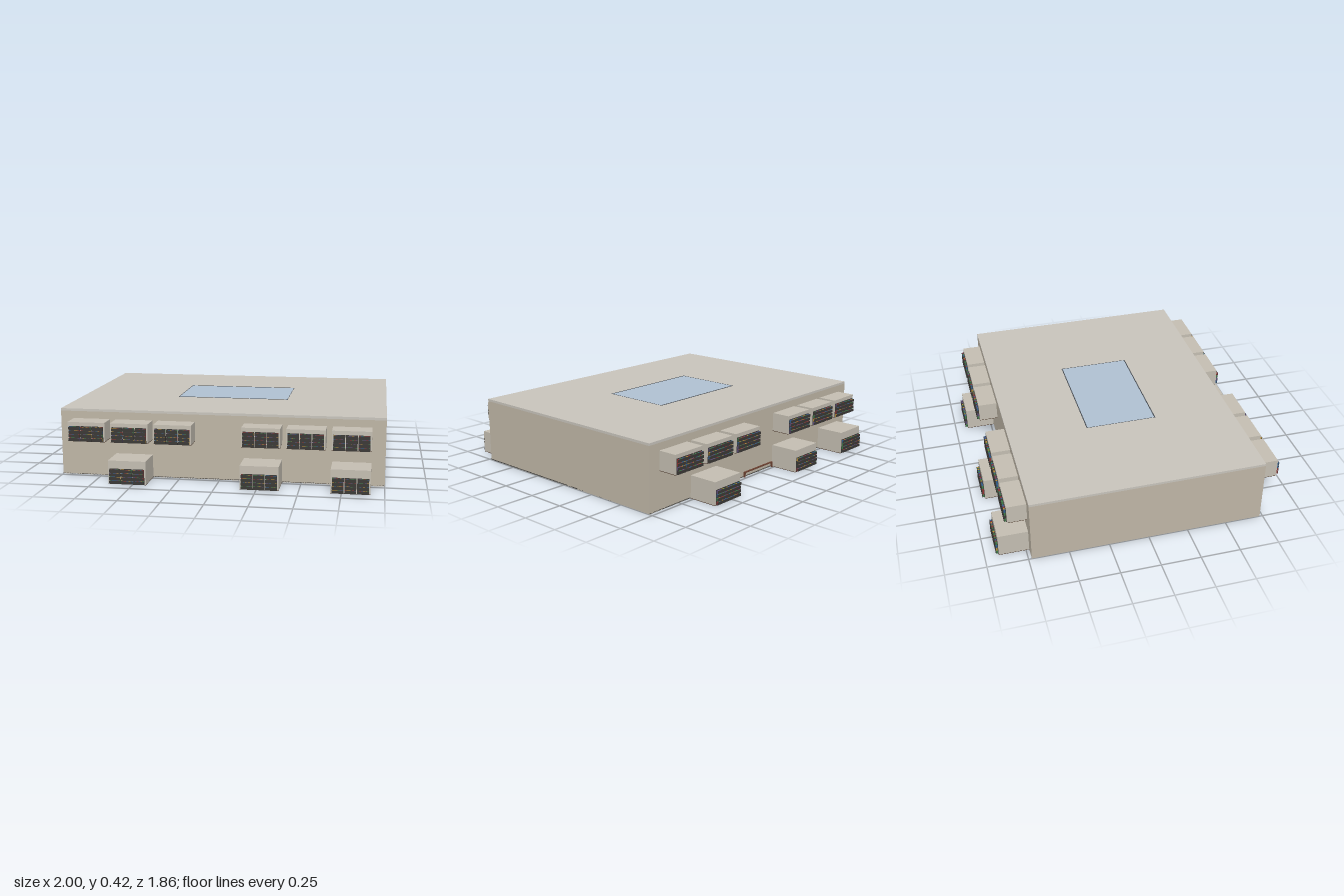
import * as THREE from 'three';
import { mergeGeometries } from 'three/addons/utils/BufferGeometryUtils.js';

const HALF_Z = 0.73, ROOF_Y = 0.405, TOP_Y = 0.42;
const paint = (color) => new THREE.MeshStandardMaterial({ color, flatShading: true });
const MAT = {
  wall: paint(0xbfb6a6), roof: paint(0xc8c4bc), alcove: paint(0xc4beb2),
  wood: paint(0x4a3426), dark: paint(0x3a3835), glass: paint(0xb0c1d2),
  floor: paint(0x4a4844), tile: paint(0x55524d), frame: paint(0x4a4f55),
  navy: paint(0x14293c), mat: paint(0x363c42), door: paint(0x6b4030),
};
const BOOK_MATS = [0x8c3030, 0x2f5d8c, 0x3c7a46, 0xb58a35, 0x5b4a78, 0x3a3835].map(paint);

// Box given by its min and max corners
function boxGeo(x0, x1, y0, y1, z0, z1) {
  return new THREE.BoxGeometry(x1 - x0, y1 - y0, z1 - z0)
    .translate((x0 + x1) / 2, (y0 + y1) / 2, (z0 + z1) / 2);
}

function add(parent, name, geometry, material) {
  const mesh = new THREE.Mesh(geometry, material);
  mesh.name = name;
  parent.add(mesh);
  return mesh;
}

// Three shelf units on the outer face of an alcove, each with four rows of books
function makeShelves(seed) {
  const shelves = new THREE.Group();
  shelves.name = 'bookshelves';
  const dark = [], books = BOOK_MATS.map(() => []);
  let s = seed * 7919 + 13;
  const rand = () => (s = (s * 16807) % 2147483647) / 2147483647;
  for (const cx of [-0.073, 0, 0.073]) {
    dark.push(boxGeo(cx - 0.034, cx + 0.034, 0.001, 0.096, 0, 0.003));
    for (let row = 0; row < 4; row++) {
      const y = 0.006 + row * 0.023;
      dark.push(boxGeo(cx - 0.034, cx + 0.034, y, y + 0.017, 0.013, 0.016));
      for (let i = 0; i < 6; i++) {
        const x = cx - 0.033 + i * 0.011;
        const pick = Math.floor(rand() * books.length) % books.length;
        books[pick].push(boxGeo(x, x + 0.011, y, y + 0.017, 0.003, 0.013));
      }
    }
  }
  add(shelves, 'shelfUnits', mergeGeometries(dark), MAT.dark);
  books.forEach((list, i) => {
    if (list.length) add(shelves, 'bookRow', mergeGeometries(list), BOOK_MATS[i]);
  });
  return shelves;
}

// Projecting bay with a wooden underside and shelves outside
function makeAlcove(name, x, y, height, depth, side, seed) {
  const alcove = new THREE.Group();
  alcove.name = name;
  add(alcove, 'alcoveShell', boxGeo(-0.116, 0.116, 0.003, height, 0, depth), MAT.alcove);
  add(alcove, 'alcoveFloor', boxGeo(-0.116, 0.116, 0, 0.003, 0, depth), MAT.wood);
  const shelves = makeShelves(seed);
  shelves.position.z = depth;
  alcove.add(shelves);
  alcove.position.set(x, y, side * HALF_Z);
  if (side < 0) alcove.rotation.y = Math.PI;
  return alcove;
}

function makeRoof() {
  const roof = new THREE.Group();
  roof.name = 'roof';
  const outline = new THREE.Shape([[-1, -HALF_Z], [1, -HALF_Z], [1, HALF_Z], [-1, HALF_Z]]
    .map(([x, y]) => new THREE.Vector2(x, y)));
  outline.holes.push(new THREE.Path([[-0.36, -0.225], [-0.36, 0.225], [0.36, 0.225], [0.36, -0.225]]
    .map(([x, y]) => new THREE.Vector2(x, y))));
  const slab = new THREE.ExtrudeGeometry(outline, { depth: TOP_Y - ROOF_Y, bevelEnabled: false });
  add(roof, 'roofSlab', slab.rotateX(-Math.PI / 2).translate(0, ROOF_Y, 0), MAT.roof);
  add(roof, 'skylight', boxGeo(-0.36, 0.36, ROOF_Y, TOP_Y, -0.225, 0.225), MAT.glass);
  for (const s of [-1, 1]) {
    add(roof, 'skylightFrame', new THREE.BoxGeometry(0.726, 0.004, 0.006)
      .translate(0, TOP_Y, s * 0.226), MAT.frame);
    add(roof, 'skylightFrame', new THREE.BoxGeometry(0.002, 0.003, 0.45)
      .translate(s * 0.361, TOP_Y, 0), MAT.frame);
  }
  return roof;
}

function makeFloor() {
  const floor = new THREE.Group();
  floor.name = 'floor';
  add(floor, 'floorSlab', boxGeo(-1, 1, 0.003, 0.008, -HALF_Z, HALF_Z), MAT.floor);
  // Checkerboard of tiles
  const tiles = [], nx = 20, nz = 14, w = 2 / nx, d = 2 * HALF_Z / nz;
  for (let i = 0; i < nx; i++) for (let j = 0; j < nz; j++) {
    if ((i + j) % 2) continue;
    const x = -1 + i * w, z = -HALF_Z + j * d;
    tiles.push(boxGeo(x, x + w, 0.002, 0.003, z, z + d));
  }
  add(floor, 'floorTiles', mergeGeometries(tiles), MAT.tile);
  // Inlays reaching through the floor
  const inlay = (name, x, z, sx, sz, mat) =>
    add(floor, name, boxGeo(x - sx / 2, x + sx / 2, 0, 0.003, z - sz / 2, z + sz / 2), mat);
  add(floor, 'centreRug', new THREE.CylinderGeometry(0.12, 0.12, 0.003, 40).translate(0, 0.0015, 0), MAT.navy);
  inlay('entranceMat', 0, -0.69, 0.28, 0.075, MAT.mat);
  inlay('cornerRugBlue', 0.76, -0.54, 0.12, 0.08, paint(0x1f3568));
  inlay('cornerRugOrange', 0.76, 0.54, 0.12, 0.08, paint(0x7a4c18));
  inlay('cornerRugRed', -0.76, -0.54, 0.12, 0.08, paint(0x702622));
  inlay('cornerRugGreen', -0.76, 0.54, 0.12, 0.08, paint(0x1f4a2b));
  for (const sx of [-1, 1]) for (const sz of [-1, 1]) {
    inlay('benchBase', sx * 0.28, sz * 0.47, 0.1, 0.014, MAT.dark);
    inlay('benchBase', sx * 0.28, sz * 0.23, 0.1, 0.014, MAT.dark);
    inlay('benchBase', sx * 0.62, sz * 0.28, 0.014, 0.09, MAT.dark);
  }
  for (const s of [-1, 1]) inlay('benchBase', 0, s * 0.53, 0.14, 0.014, MAT.dark);
  return floor;
}

export function createModel() {
  const model = new THREE.Group();
  model.name = 'library';

  // Outer walls
  const t = 0.02, walls = new THREE.Group();
  walls.name = 'walls';
  for (const s of [-1, 1]) {
    add(walls, 'longWall', new THREE.BoxGeometry(2, ROOF_Y - 0.002, t)
      .translate(0, ROOF_Y / 2 + 0.001, s * (HALF_Z - t / 2)), MAT.wall);
    add(walls, 'endWall', new THREE.BoxGeometry(t, ROOF_Y - 0.002, 2 * HALF_Z - 2 * t)
      .translate(s * (1 - t / 2), ROOF_Y / 2 + 0.001, 0), MAT.wall);
  }
  model.add(walls, makeRoof(), makeFloor());

  // Two storeys of bays; ground-floor bays alternate between front and back
  const bays = [-0.802, -0.534, -0.267, 0.267, 0.534, 0.802];
  const ground = { 1: [1, 3, 5], [-1]: [0, 2, 4] };
  let seed = 1;
  for (const side of [1, -1]) {
    bays.forEach((x) => model.add(makeAlcove('upperAlcove', x, 0.24, 0.12, 0.12, side, seed++)));
    ground[side].forEach((i) => model.add(makeAlcove('groundAlcove', bays[i], 0, 0.145, 0.185, side, seed++)));
  }

  // Low entrance frame on the back wall
  const entrance = new THREE.Group();
  entrance.name = 'entranceFrame';
  add(entrance, 'frameTop', boxGeo(-0.145, 0.145, 0.03, 0.036, -0.742, -HALF_Z), MAT.door);
  for (const s of [-1, 1]) {
    add(entrance, 'framePost', new THREE.BoxGeometry(0.006, 0.03, 0.012)
      .translate(s * 0.142, 0.015, -0.736), MAT.door);
  }
  model.add(entrance);
  return model;
}
